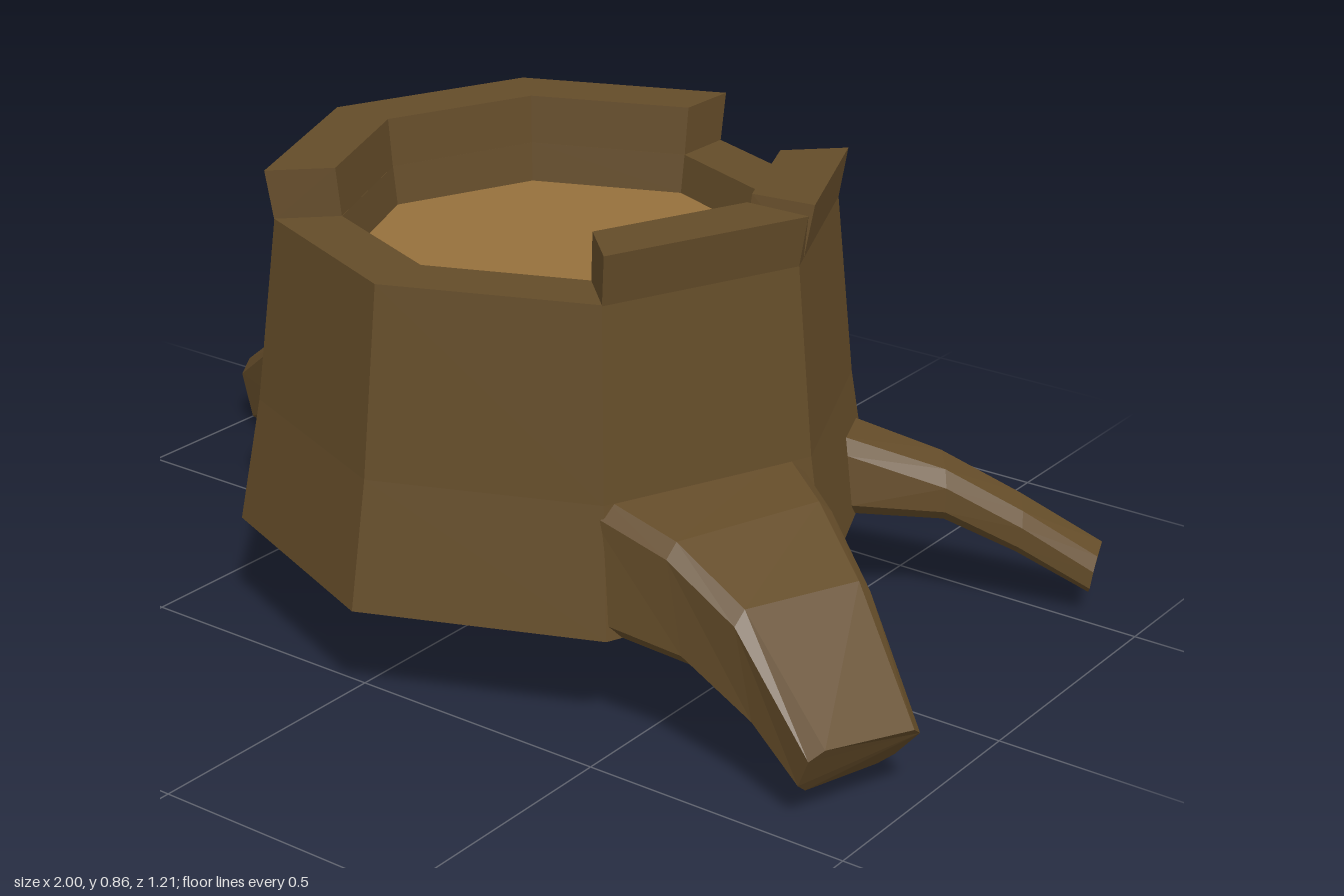
import * as THREE from 'three';

const bark = new THREE.MeshStandardMaterial({ color: 0x644c29, flatShading: true });
const wood = new THREE.MeshStandardMaterial({ color: 0x96703c, flatShading: true });

// Closed, capped solid through equal-sized rings of points
function loft(rings) {
  const n = rings[0].length, tris = [];
  for (let i = 0; i < rings.length - 1; i++) {
    for (let j = 0; j < n; j++) {
      const k = (j + 1) % n;
      const a = rings[i][j], b = rings[i][k], c = rings[i + 1][k], d = rings[i + 1][j];
      tris.push([a, b, c], [a, c, d]);
    }
  }
  const first = rings[0], last = rings[rings.length - 1];
  for (let j = 1; j < n - 1; j++) {
    tris.push([first[0], first[j + 1], first[j]], [last[0], last[j], last[j + 1]]);
  }
  // Turn the faces outward whichever way the rings run
  const centre = first[0];
  let volume = 0;
  for (const [a, b, c] of tris) {
    const p = a.clone().sub(centre), q = b.clone().sub(centre), r = c.clone().sub(centre);
    volume += p.dot(q.cross(r));
  }
  if (volume < 0) tris.forEach((t) => t.reverse());
  const geometry = new THREE.BufferGeometry().setFromPoints(tris.flat());
  geometry.computeVertexNormals();
  return geometry;
}

function addMesh(parent, name, geometry, material = bark) {
  const mesh = new THREE.Mesh(geometry, material);
  mesh.name = name;
  parent.add(mesh);
}

// Point on an octagon of corner radius r; angle 0 faces +z
function onOctagon(r, degrees, y) {
  const local = (degrees % 45) - 22.5;
  const d = r * Math.cos(Math.PI / 8) / Math.cos(THREE.MathUtils.degToRad(local));
  const a = THREE.MathUtils.degToRad(degrees);
  return new THREE.Vector3(d * Math.sin(a), y, d * Math.cos(a));
}

// Raised rim piece; each station is [angle at the foot, angle at the top]
function rimPiece(stations) {
  return loft(stations.map(([foot, top]) => [
    onOctagon(0.51, foot, 0.77), onOctagon(0.525, top, 0.863),
    onOctagon(0.4, top, 0.863), onOctagon(0.39, foot, 0.77),
  ]));
}

// Root with bevelled four-cornered sections, corners given in ring order
function root(sections) {
  return loft(sections.map((corners) => {
    const points = corners.map((c) => new THREE.Vector3(...c));
    return points.flatMap((p, i) => [points[(i + 3) % 4], points[(i + 1) % 4]].map((q) => {
      const length = p.distanceTo(q);
      return p.clone().lerp(q, Math.min(0.025, length * 0.25) / length);
    }));
  }));
}

export function createModel() {
  const model = new THREE.Group();
  model.name = 'treeStump';

  const stump = new THREE.Group();
  stump.name = 'stump';
  stump.position.set(0.06, 0, 0.01);
  model.add(stump);

  // Trunk with flat underside, tapering sides and hollow top
  const profile = [[0, 0.197], [0.588, 0.197], [0.548, 0.43], [0.51, 0.773], [0.39, 0.773], [0.38, 0.7]];
  addMesh(stump, 'trunk', new THREE.LatheGeometry(profile.map((p) => new THREE.Vector2(...p)), 8));

  // Cut wood inside the rim
  const floor = new THREE.CircleGeometry(0.381, 8, Math.PI / 2).rotateX(-Math.PI / 2).translate(0, 0.7, 0);
  addMesh(stump, 'cutWood', floor, wood);

  // Broken rim, with a narrow split on the left side
  addMesh(stump, 'rimFrontLeft', rimPiece([[45, 45], [90, 90], [94.5, 90.2]]));
  addMesh(stump, 'rimBackLeft', rimPiece([[94.5, 96.7], [135, 135]]));
  addMesh(stump, 'rimRight', rimPiece([[180, 180], [225, 225], [270, 270], [315, 315]]));

  // Roots: top inner, top outer, bottom outer, bottom inner corners per section
  addMesh(model, 'frontLeftRoot', root([
    [[0.58, 0.435, 0.01], [0.42, 0.435, 0.4], [0.44, 0.2, 0.42], [0.62, 0.2, 0]],
    [[0.70, 0.405, 0.09], [0.58, 0.4, 0.41], [0.63, 0.19, 0.42], [0.72, 0.185, 0.08]],
    [[0.84, 0.33, 0.18], [0.73, 0.33, 0.43], [0.78, 0.12, 0.43], [0.83, 0.13, 0.18]],
    [[1.01, 0.145, 0.27], [0.92, 0.155, 0.475], [0.87, 0.05, 0.445], [0.92, 0.04, 0.235]],
  ]));
  addMesh(model, 'backRightRoot', root([
    [[-0.44, 0.41, -0.02], [-0.31, 0.42, -0.38], [-0.33, 0.2, -0.41], [-0.49, 0.2, 0]],
    [[-0.60, 0.37, -0.05], [-0.50, 0.38, -0.42], [-0.50, 0.17, -0.43], [-0.60, 0.15, -0.05]],
    [[-0.78, 0.29, -0.14], [-0.68, 0.30, -0.46], [-0.68, 0.12, -0.46], [-0.75, 0.11, -0.14]],
    [[-1.01, 0.13, -0.27], [-0.93, 0.17, -0.51], [-0.89, 0.035, -0.51], [-0.96, -0.004, -0.26]],
  ]));
  addMesh(model, 'backLeftRoot', root([
    [[0.52, 0.345, -0.25], [0.43, 0.35, -0.38], [0.45, 0.2, -0.4], [0.54, 0.2, -0.25]],
    [[0.67, 0.28, -0.36], [0.60, 0.30, -0.45], [0.60, 0.185, -0.46], [0.67, 0.185, -0.36]],
    [[0.79, 0.20, -0.44], [0.73, 0.22, -0.53], [0.72, 0.12, -0.53], [0.78, 0.12, -0.44]],
    [[0.90, 0.11, -0.52], [0.87, 0.13, -0.61], [0.85, 0.04, -0.6], [0.89, 0.04, -0.52]],
  ]));

  return model;
}
